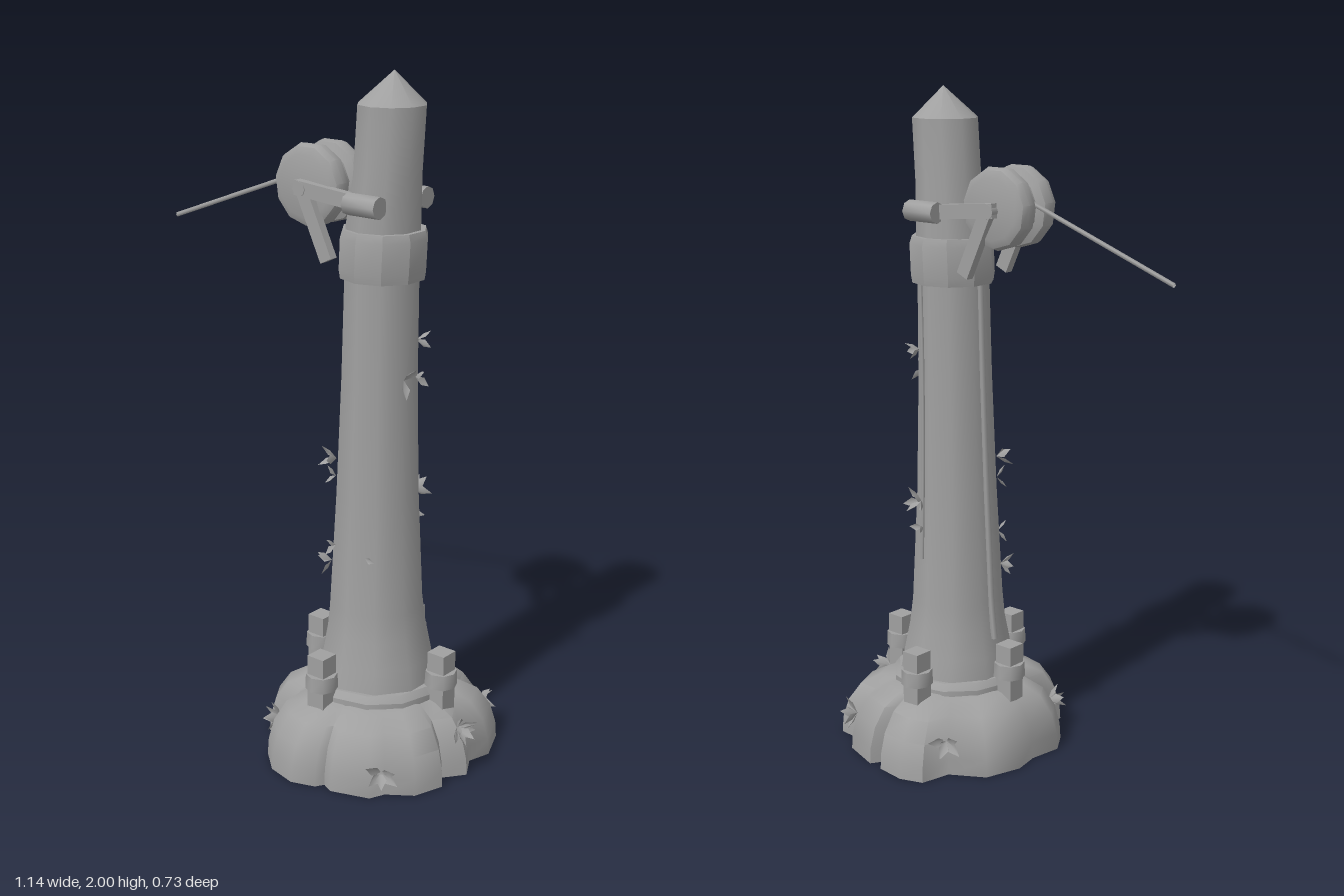
import * as THREE from 'three';
import { toCreasedNormals } from 'three/addons/utils/BufferGeometryUtils.js';

const stone = new THREE.MeshStandardMaterial({ color: 0xa0a0a0, side: THREE.DoubleSide });
stone.name = 'plain grey';

// Skin a stack of rings, listed upwards, each counterclockwise seen from above
function loft(rings, crease = 0.6) {
  const n = rings[0].length, index = [];
  for (let j = 0; j < rings.length - 1; j++) {
    for (let i = 0; i < n; i++) {
      const a = j * n + i, b = j * n + (i + 1) % n;
      index.push(a, b, b + n, a, b + n, a + n);
    }
  }
  const g = new THREE.BufferGeometry().setFromPoints(rings.flat());
  g.setIndex(index);
  return toCreasedNormals(g, crease);
}

// Ring of a shaft: [height, radius, centre x]
const ring = (n) => ([y, r, cx]) => Array.from({ length: n }, (_, i) => {
  const a = (i / n) * Math.PI * 2;
  return new THREE.Vector3(cx + r * Math.sin(a), y, r * Math.cos(a));
});

// Shaft profile, slightly leaning at the top
const PROFILE = [
  [0.2, 0, 0.22], [0.2, 0.184, 0.22], [0.3, 0.166, 0.218], [0.38, 0.15, 0.217], [0.46, 0.141, 0.215],
  [0.8, 0.123, 0.215], [1.15, 0.112, 0.218], [1.45, 0.108, 0.222], [1.58, 0.108, 0.225],
  [1.72, 0.098, 0.238], [1.91, 0.097, 0.25], [2.0, 0, 0.256],
];

// Point on the shaft's skin at an angle (0 = front) and height
function onShaft(a, y, out = 0) {
  const k = PROFILE.findIndex((p, i) => i > 1 && p[0] >= y);
  const [p, q] = [PROFILE[k - 1], PROFILE[k]];
  const t = (y - p[0]) / (q[0] - p[0]);
  const r = p[1] + (q[1] - p[1]) * t + out;
  return new THREE.Vector3(p[2] + (q[2] - p[2]) * t + r * Math.sin(a), y, r * Math.cos(a));
}

// Outline of the rock seen from above: x, z
const ROCK = [
  [0.03, -0.25], [-0.07, -0.19], [-0.105, -0.08], [-0.09, 0.0], [-0.105, 0.1], [-0.06, 0.17], [0.01, 0.175],
  [0.04, 0.21], [0.03, 0.28], [0.1, 0.34], [0.19, 0.36], [0.26, 0.335], [0.275, 0.31], [0.31, 0.325],
  [0.42, 0.285], [0.44, 0.24], [0.51, 0.19], [0.54, 0.1], [0.51, 0.06], [0.555, 0.0], [0.515, -0.07],
  [0.535, -0.14], [0.49, -0.245], [0.41, -0.25], [0.38, -0.31], [0.26, -0.35], [0.235, -0.31],
  [0.21, -0.355], [0.12, -0.365], [0.05, -0.34],
];

export function createModel() {
  const model = new THREE.Group();
  model.name = 'towerWithPulley';
  const add = (name, geometry, parent = model) => {
    const m = new THREE.Mesh(geometry, stone);
    m.name = name;
    parent.add(m);
    return m;
  };

  // Lobed rock: the same outline, shrinking towards the top
  const layers = [[0, 0], [0, 1], [0.05, 0.99], [0.11, 0.94], [0.165, 0.83], [0.195, 0.66], [0.205, 0.5], [0.205, 0]];
  add('rockBase', loft(layers.map(([y, s]) =>
    ROCK.map(([x, z]) => new THREE.Vector3(0.22 + (x - 0.22) * s, y, z * s))), 0.9));

  // Shaft with its foot ring and upper collar
  add('shaft', loft(PROFILE.map(ring(10)), 0.66));
  add('footRing', loft([[0.17, 0, 0.22], [0.17, 0.2, 0.22], [0.215, 0.2, 0.22], [0.235, 0.185, 0.22],
    [0.235, 0, 0.22]].map(ring(12))));
  add('collar', loft([[1.435, 0, 0.224], [1.435, 0.122, 0.224], [1.46, 0.126, 0.224], [1.55, 0.126, 0.228],
    [1.572, 0.119, 0.228], [1.572, 0, 0.228]].map(ring(10))));

  // Four banded posts round the foot
  for (const [x, z] of [[0.005, 0.0], [0.185, 0.215], [0.437, -0.025], [0.178, -0.225]]) {
    const post = new THREE.Group();
    post.name = 'post';
    post.position.set(x, 0, z);
    model.add(post);
    add('postStake', new THREE.BoxGeometry(0.058, 0.21, 0.058), post).position.y = 0.243;
    const band = toCreasedNormals(new THREE.CylinderGeometry(0.046, 0.048, 0.045, 8), 0.9);
    add('postBand', band, post).position.y = 0.267;
  }

  // Short rollers on the front and back of the upper shaft
  for (const s of [1, -1]) {
    const roller = add('sideRoller', toCreasedNormals(new THREE.CylinderGeometry(0.031, 0.031, 0.11, 8), 0.9));
    roller.rotation.z = Math.PI / 2;
    roller.position.set(0.24, 1.648, s * 0.106);
  }

  // Grooved pulley wheel
  const half = [[0, 0.072], [0.09, 0.08], [0.112, 0.07], [0.12, 0.05], [0.115, 0.022], [0.09, 0.012]];
  const wheelProfile = [...half.map(([r, h]) => [r, -h]), ...half.slice().reverse()]
    .map(([r, h]) => new THREE.Vector2(r, h));
  const wheel = add('pulleyWheel', toCreasedNormals(new THREE.LatheGeometry(wheelProfile, 11), 0.7));
  wheel.rotation.x = Math.PI / 2;
  wheel.position.set(0.003, 1.67, -0.002);

  // Brackets holding the wheel on both sides
  const bar = (name, x1, y1, x2, y2, z) => {
    const m = add(name, new THREE.BoxGeometry(Math.hypot(x2 - x1, y2 - y1), 0.042, 0.026));
    m.position.set((x1 + x2) / 2, (y1 + y2) / 2, z);
    m.rotation.z = Math.atan2(y2 - y1, x2 - x1);
  };
  for (const z of [0.085, -0.085]) {
    bar('bracketArm', -0.015, 1.668, 0.19, 1.65, z);
    bar('bracketStrut', 0.005, 1.675, 0.1, 1.475, z);
  }
  const axle = add('wheelAxle', new THREE.CylinderGeometry(0.022, 0.022, 0.2, 8));
  axle.rotation.x = Math.PI / 2;
  axle.position.set(0.003, 1.665, 0);

  // Taut line leaving the wheel
  const tube = (name, points, r) => add(name, new THREE.TubeGeometry(
    new THREE.CatmullRomCurve3(points), 24, r, 5));
  tube('tautLine', [new THREE.Vector3(-0.57, 1.507, 0), new THREE.Vector3(-0.33, 1.595, 0),
    new THREE.Vector3(-0.07, 1.69, 0)], 0.007);

  // Cord and vine running down the shaft
  const down = [1.45, 1.2, 0.9, 0.6, 0.46, 0.35];
  tube('hangingCord', down.map((y) => onShaft(-Math.PI / 2, y, -0.004)), 0.011);
  tube('vine', down.slice(0, 4).map((y, i) => onShaft(2.75 + 0.06 * i, y, -0.002)), 0.006);

  // Folded leaf, base at the origin and tip along +y
  const leaf = new THREE.BufferGeometry().setFromPoints([
    [0, 0, 0], [0.016, 0.03, 0.01], [0, 0.034, 0], [-0.016, 0.03, 0.01], [0, 0.064, 0.012],
  ].map((p) => new THREE.Vector3(...p)));
  leaf.setIndex([0, 1, 2, 0, 2, 3, 2, 1, 4, 2, 4, 3]);
  leaf.computeVertexNormals();

  // Leaf tufts: leaves fanned about the outward direction
  const tuft = (pos, a, count, size, turn) => {
    const g = new THREE.Group();
    g.name = 'leafTuft';
    g.position.copy(pos);
    g.rotation.y = a;
    g.scale.setScalar(size);
    model.add(g);
    for (let i = 0; i < count; i++) {
      const l = add('leaf', leaf, g);
      l.rotation.set(0.35 + 0.3 * (i % 3), 0, turn + (i / count) * Math.PI * 2, 'ZXY');
    }
  };
  // angle, height, leaf count, size
  [[2.65, 1.24, 3, 0.8], [1.3, 1.16, 2, 0.9], [1.75, 1.16, 2, 0.8], [-0.85, 0.9, 3, 0.9], [-1.0, 0.84, 2, 0.7],
    [2.85, 0.78, 5, 0.9], [2.95, 0.7, 2, 0.7], [-0.5, 0.65, 2, 0.7], [-1.1, 0.57, 3, 0.8], [0.4, 0.64, 1, 0.6]]
    .forEach(([a, y, n, s], i) => tuft(onShaft(a, y), a, n, s, 1.9 + i));
  // x, height, z, leaf count on the rock
  [[0.025, 0.09, 0.21, 6], [0.43, 0.07, 0.245, 6], [0.515, 0.14, 0.0, 8], [0.41, 0.09, -0.255, 5], [0.03, 0.11, -0.255, 5]]
    .forEach(([x, y, z, n], i) => tuft(new THREE.Vector3(x, y, z), Math.atan2(x - 0.22, z), n, 0.95, i));

  return model;
}
